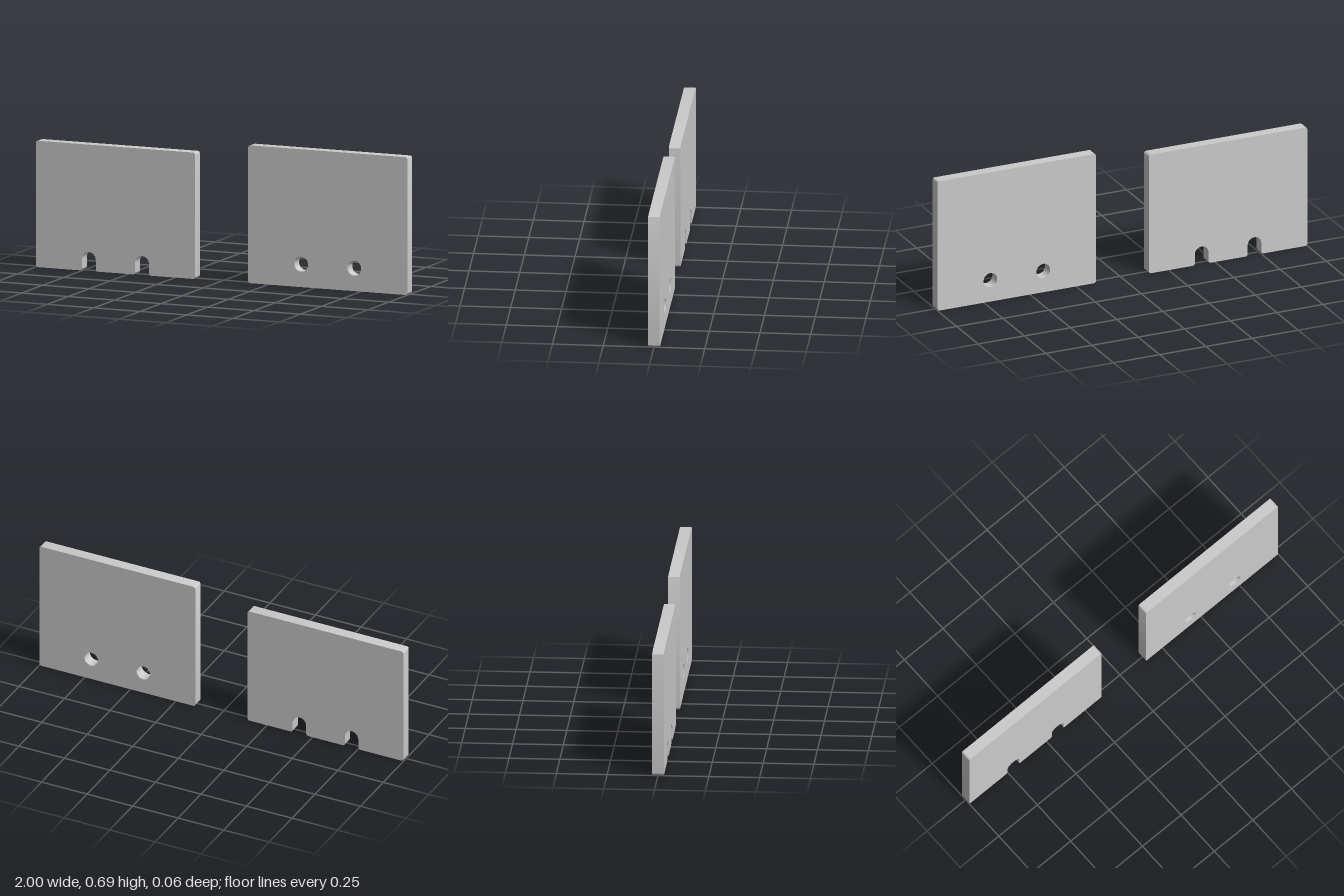
import * as THREE from 'three';
import { toCreasedNormals } from 'three/addons/utils/BufferGeometryUtils.js';

const WIDTH = 0.857, DEPTH = 0.057, CORNER = 0.0114, HOLE_R = 0.037;
const OFFSETS = [-0.143, 0.143]; // hole and slot positions from the plate's middle

// Rounded rectangle standing on y = 0, with optional round-topped slots in its lower edge
function plateOutline(height, slots = []) {
  const w = WIDTH / 2, r = CORNER, slotY = 0.057;
  const s = new THREE.Shape();
  s.moveTo(-w + r, 0);
  for (const x of slots) {
    const a = x - HOLE_R, b = x + HOLE_R;
    s.lineTo(a - r, 0);
    s.absarc(a - r, r, r, -Math.PI / 2, 0, false);
    s.lineTo(a, slotY);
    s.absarc(x, slotY, HOLE_R, Math.PI, 0, true);
    s.lineTo(b, r);
    s.absarc(b + r, r, r, Math.PI, Math.PI * 1.5, false);
  }
  s.lineTo(w - r, 0);
  s.absarc(w - r, r, r, -Math.PI / 2, 0, false);
  s.absarc(w - r, height - r, r, 0, Math.PI / 2, false);
  s.absarc(-w + r, height - r, r, Math.PI / 2, Math.PI, false);
  s.absarc(-w + r, r, r, Math.PI, Math.PI * 1.5, false);
  return s;
}

function plate(name, shape, x, material) {
  const geo = new THREE.ExtrudeGeometry(shape, { depth: DEPTH, bevelEnabled: false, curveSegments: 20 });
  geo.translate(0, 0, -DEPTH / 2);
  const mesh = new THREE.Mesh(toCreasedNormals(geo, 0.6), material);
  mesh.name = name;
  mesh.position.x = x;
  return mesh;
}

export function createModel() {
  const group = new THREE.Group();
  group.name = 'platePair';
  const material = new THREE.MeshStandardMaterial({ color: 0xcccccc });

  // Shorter plate with two open slots
  group.add(plate('slottedPlate', plateOutline(0.629, OFFSETS), -0.5715, material));

  // Taller plate with two through holes
  const drilled = plateOutline(0.686);
  for (const x of OFFSETS) {
    drilled.holes.push(new THREE.Path().absarc(x, 0.114, HOLE_R, 0, Math.PI * 2, true));
  }
  group.add(plate('drilledPlate', drilled, 0.5715, material));
  return group;
}
